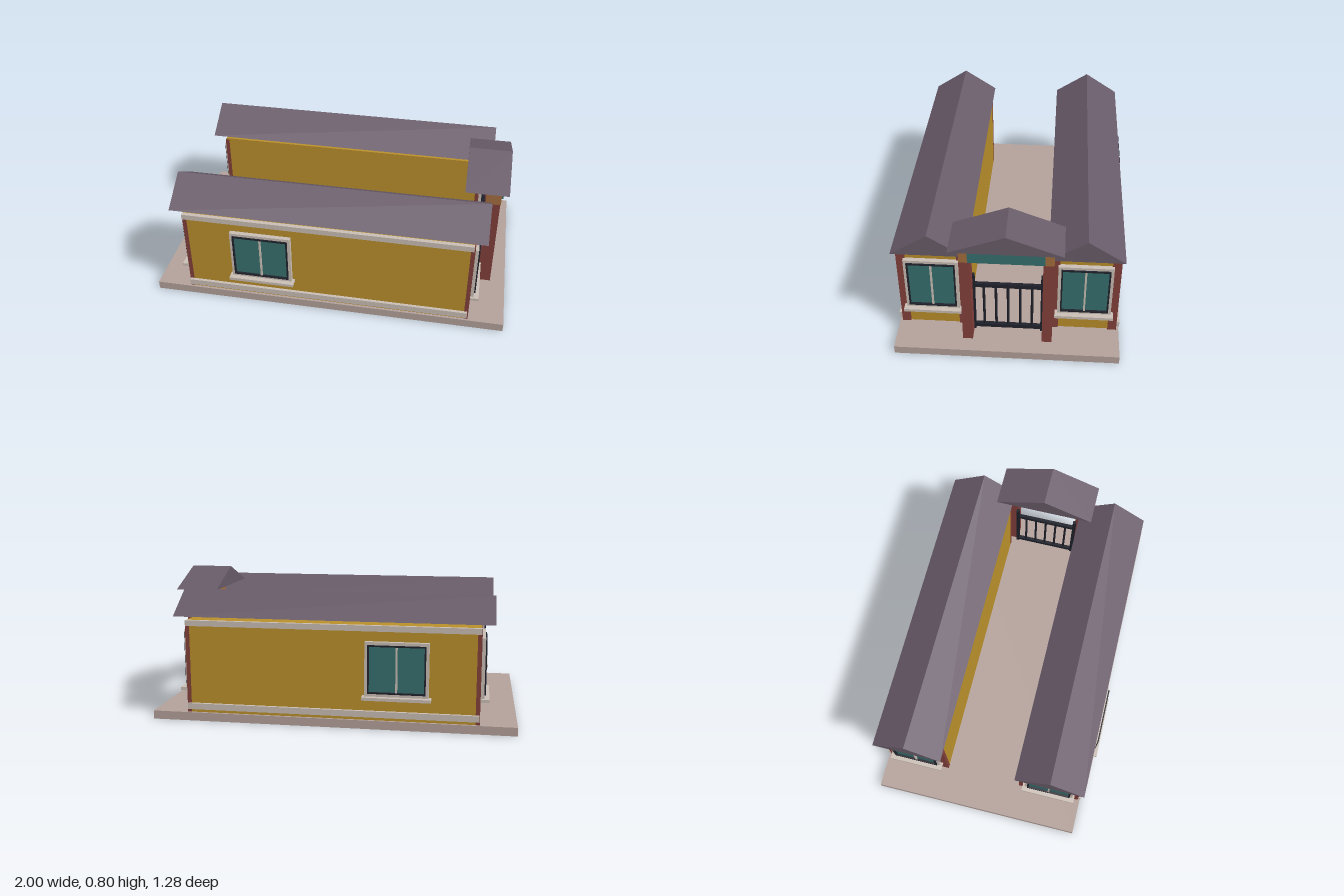
import * as THREE from 'three';

const mat = (color) => new THREE.MeshStandardMaterial({ color, flatShading: true });
const M = {
  stone: mat(0xb3a09a), wall: mat(0xb98f2b), trim: mat(0xc9beb4), brick: mat(0x83403a),
  wood: mat(0xa56e3e), roof: mat(0x685b69), glass: mat(0x36706e), iron: mat(0x1f212b),
};

// Box given by its min/max limits on each axis
function box(parent, name, m, [x0, x1], [y0, y1], [z0, z1]) {
  const mesh = new THREE.Mesh(new THREE.BoxGeometry(x1 - x0, y1 - y0, z1 - z0), m);
  mesh.position.set((x0 + x1) / 2, (y0 + y1) / 2, (z0 + z1) / 2);
  mesh.name = name;
  parent.add(mesh);
  return mesh;
}

// Gabled roof with its ridge along x
function gable(parent, name, [x0, x1], y0, y1, zc, half) {
  const s = new THREE.Shape([
    new THREE.Vector2(-half, y0), new THREE.Vector2(half, y0), new THREE.Vector2(0, y1),
  ]);
  const geo = new THREE.ExtrudeGeometry(s, { depth: x1 - x0, bevelEnabled: false });
  geo.rotateY(Math.PI / 2);
  const mesh = new THREE.Mesh(geo, M.roof);
  mesh.position.set(x0, 0, zc);
  mesh.name = name;
  parent.add(mesh);
}

// Rectangular ring, border b, in the xy plane from z = 0 outwards
function ring(parent, name, m, w, y0, y1, b, depth) {
  const rect = (P, x, a, c) => {
    const p = new P();
    p.moveTo(-x, a); p.lineTo(x, a); p.lineTo(x, c); p.lineTo(-x, c); p.closePath();
    return p;
  };
  const s = rect(THREE.Shape, w / 2, y0, y1);
  s.holes.push(rect(THREE.Path, w / 2 - b, y0 + b, y1 - b));
  const mesh = new THREE.Mesh(new THREE.ExtrudeGeometry(s, { depth, bevelEnabled: false }), m);
  mesh.name = name;
  parent.add(mesh);
}

// Two-pane window facing +z, centred on x = 0
function makeWindow(w, y0, y1) {
  const g = new THREE.Group();
  g.name = 'window';
  const b = 0.016, i = w / 2 - b;
  ring(g, 'windowFrame', M.trim, w, y0, y1, b, 0.025);
  ring(g, 'windowSash', M.iron, w - 2 * b, y0 + b, y1 - b, 0.008, 0.033);
  box(g, 'glass', M.glass, [-i, i], [y0 + b, y1 - b], [0, 0.02]);
  box(g, 'mullion', M.trim, [-0.005, 0.005], [y0 + b + 0.008, y1 - b - 0.008], [0.01, 0.03]);
  box(g, 'sill', M.trim, [-w / 2 - 0.013, w / 2 + 0.013], [y0 - 0.017, y0], [0, 0.053]);
  return g;
}

// Long wing of the building on side s (+1 or -1)
function makeWing(s) {
  const g = new THREE.Group();
  g.name = s > 0 ? 'frontWing' : 'backWing';
  const zc = 0.405 * s;
  box(g, 'walls', M.wall, [-0.797, 0.795], [0.047, 0.565], [zc - 0.181, zc + 0.181]);
  gable(g, 'wingRoof', [-0.87, 0.865], 0.585, 0.713, zc, 0.195);

  // Trim bands on the outer wall
  const zs = [0.58 * s, 0.603 * s].sort((a, b) => a - b);
  box(g, 'upperBand', M.trim, [-0.8, 0.797], [0.535, 0.566], zs);
  box(g, 'lowerBand', M.trim, [-0.8, 0.797], [0.066, 0.1], zs);

  // Corner piers and a window at each end
  for (const e of [-1, 1]) {
    const xs = [0.78 * e, 0.803 * e].sort((a, b) => a - b);
    for (const k of [-1, 1]) {
      const z = zc + k * 0.159;
      box(g, 'cornerPier', M.brick, xs, [0.047, 0.555], [z - 0.0235, z + 0.0235]);
    }
    const win = makeWindow(0.288, 0.18, 0.505);
    win.rotation.y = e * Math.PI / 2;
    win.position.set(0.797 * e, 0, zc);
    g.add(win);
  }

  // Side window
  const side = makeWindow(0.342, 0.185, 0.48);
  side.position.set(-0.362, 0, 0.586 * s);
  if (s < 0) side.rotation.y = Math.PI;
  g.add(side);
  return g;
}

function makeGateway() {
  const g = new THREE.Group();
  g.name = 'gateway';
  for (const s of [-1, 1]) {
    const z = 0.212 * s;
    box(g, 'gatePillar', M.brick, [0.838, 0.915], [0.047, 0.595], [z - 0.027, z + 0.027]);
    box(g, 'gateEndPost', M.iron, [0.82, 0.84], [0.05, 0.44], [0.184 * s - 0.01, 0.184 * s + 0.01]);
  }
  box(g, 'lintel', M.wood, [0.835, 0.918], [0.595, 0.673], [-0.241, 0.241]);
  box(g, 'signPanel', M.glass, [0.9, 0.93], [0.606, 0.684], [-0.195, 0.195]);
  gable(g, 'gateRoof', [0.718, 0.957], 0.69, 0.8, 0, 0.29);

  // Iron fence between the pillars
  for (const y of [0.064, 0.357]) {
    box(g, 'gateRail', M.iron, [0.82, 0.84], [y, y + 0.023], [-0.18, 0.18]);
  }
  for (let i = -2; i <= 2; i++) {
    const bar = new THREE.Mesh(new THREE.CylinderGeometry(0.007, 0.007, 0.317, 8), M.iron);
    bar.position.set(0.83, 0.2265, i * 0.064);
    bar.name = 'gateBar';
    g.add(bar);
  }
  return g;
}

export function createModel() {
  const model = new THREE.Group();
  model.name = 'courtyardHouse';
  box(model, 'base', M.stone, [-1, 1], [0, 0.047], [-0.6, 0.6]);
  model.add(makeWing(1), makeWing(-1), makeGateway());
  return model;
}
